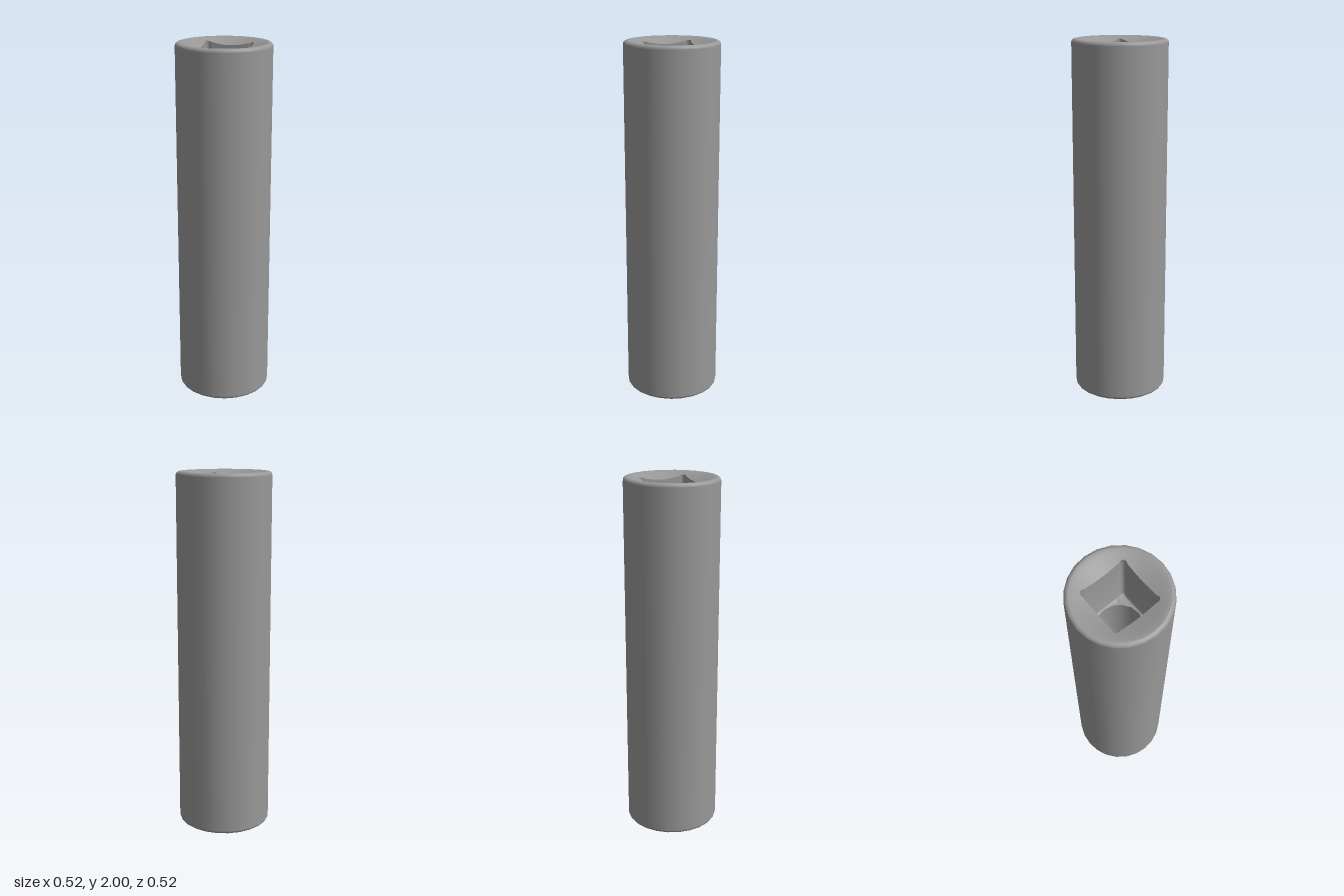
import * as THREE from 'three';
import { toCreasedNormals } from 'three/addons/utils/BufferGeometryUtils.js';

const RAD = Math.PI / 180;
const R = 0.26, H = 2, RIM = 0.24, BORE = 0.123;

// Angle in degrees to the nearest of n evenly spaced directions
function offset(deg, n, start) {
  const step = 360 / n;
  const d = deg - start;
  return Math.abs(d - Math.round(d / step) * step);
}

// Polar radius of a regular polygon with its corners at radius r
const polygon = (n, r) => (deg) =>
  r * Math.cos(Math.PI / n) / Math.cos(Math.PI / n - offset(deg, n, 0) * RAD);

// Polygonal recess: flat sides at the apothem, each corner relieved by a small round groove
function recess(n, start, apothem, centre, groove) {
  const half = Math.asin(groove / centre) / RAD;
  const radius = (deg) => {
    const a = offset(deg, n, start);
    if (a <= half + 1e-4) {
      const s = centre * Math.sin(a * RAD);
      return centre * Math.cos(a * RAD) + Math.sqrt(Math.max(0, groove * groove - s * s));
    }
    return apothem / Math.cos(Math.PI / n - a * RAD);
  };
  // Sample directions, closer together in the grooves
  const angles = new Set();
  for (let a = 0; a < 360; a += 7.5) angles.add(a);
  for (let k = 0; k < n; k++) {
    for (const f of [-1.4, -0.95, -0.8, -0.5, 0, 0.5, 0.8, 0.95, 1.4]) {
      const a = (start + k * 360 / n + f * half + 360) % 360;
      angles.add(Math.round(a * 1e4) / 1e4);
    }
  }
  return { radius, angles: [...angles].sort((p, q) => p - q) };
}

// Skin a list of rings [radius(deg), height(r)], ordered from the top downwards
function loft(angles, rings) {
  const pos = [], index = [], n = angles.length;
  for (const [radius, height] of rings) {
    for (const deg of angles) {
      const r = radius(deg);
      pos.push(r * Math.sin(deg * RAD), height(r), r * Math.cos(deg * RAD));
    }
  }
  for (let i = 0; i < rings.length - 1; i++) {
    for (let j = 0; j < n; j++) {
      const a = i * n + j, b = i * n + (j + 1) % n;
      index.push(a, b, a + n, b, b + n, a + n);
    }
  }
  const g = new THREE.BufferGeometry();
  g.setAttribute('position', new THREE.Float32BufferAttribute(pos, 3));
  g.setIndex(index);
  return toCreasedNormals(g, 50 * RAD);
}

export function createModel() {
  const group = new THREE.Group();
  group.name = 'deepSocket';
  const material = new THREE.MeshStandardMaterial({ color: 0x989898 });
  const add = (name, geometry) => {
    const mesh = new THREE.Mesh(geometry, material);
    mesh.name = name;
    group.add(mesh);
  };
  const at = (y) => () => y;

  // Outer sleeve with rounded rims at both ends
  const f = R - RIM, profile = [];
  for (let i = 0; i <= 4; i++) {
    const a = i * Math.PI / 8;
    profile.push(new THREE.Vector2(RIM + f * Math.sin(a), f - f * Math.cos(a)));
  }
  for (let i = 0; i <= 4; i++) {
    const a = i * Math.PI / 8;
    profile.push(new THREE.Vector2(RIM + f * Math.cos(a), H - f + f * Math.sin(a)));
  }
  add('outerSleeve', new THREE.LatheGeometry(profile, 24));

  // Both end faces start level at the rim and curve gently into a cone
  const rims = [RIM, 0.232, 0.222, 0.21].map((r) => polygon(24, r));
  const sink = (r) => {
    const d = Math.max(0, RIM - r);
    return 0.4 * d * d / (d + 0.02);
  };
  const dish = (r) => H - sink(r);
  const bore = polygon(16, BORE);

  // Dished top, square drive hole and the rounded ledge around the bore
  const square = recess(4, 45, 0.133, 0.166, 0.019);
  const inset = (d) => (deg) => square.radius(deg) - d;
  add('squareDrive', loft(square.angles, [
    ...rims.map((rim) => [rim, rim === rims[0] ? at(H) : dish]),
    [square.radius, dish], [square.radius, at(1.62)],
    [inset(0.002), at(1.614)], [inset(0.006), at(1.61)], [bore, at(1.61)],
  ]));

  // Round bore joining the two recesses
  const boreAngles = Array.from({ length: 16 }, (_, i) => i * 22.5);
  add('bore', loft(boreAngles, [[bore, at(1.61)], [bore, at(0.8)]]));

  // Hexagonal recess with a shallow tapered mouth at the bottom
  const hex = recess(6, 0, 0.2, 0.212, 0.017);
  const mouthRims = [0.236, RIM].map((r) => polygon(24, r));
  add('hexRecess', loft(hex.angles, [
    [bore, at(0.8)], [hex.radius, at(0.8)], [hex.radius, sink],
    [mouthRims[0], sink], [mouthRims[1], at(0)],
  ]));

  return group;
}
